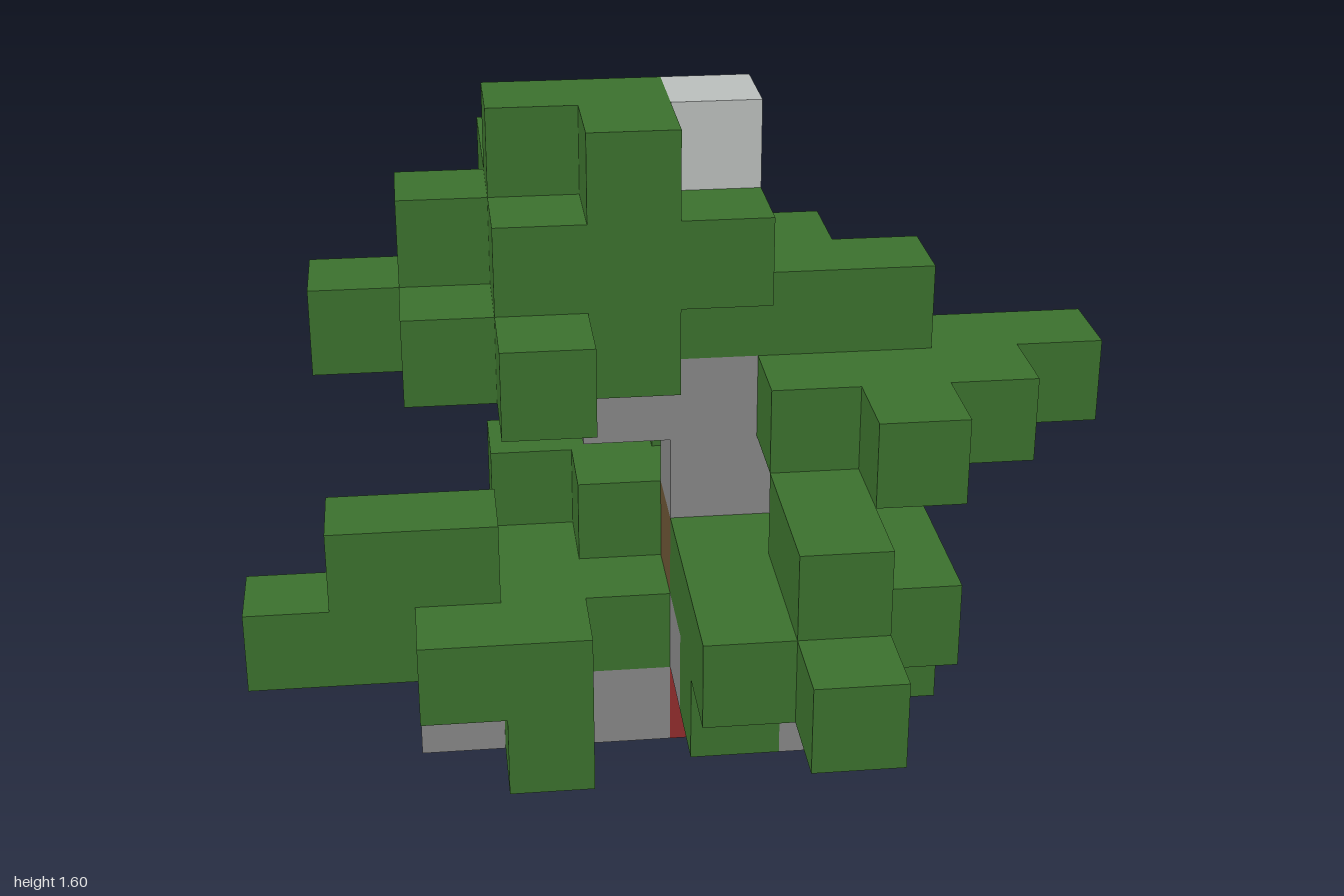
import * as THREE from 'three';
import { mergeGeometries } from 'three/addons/utils/BufferGeometryUtils.js';

const S = 0.2; // block edge

const material = (name, color) => {
  const m = new THREE.MeshStandardMaterial({ color });
  m.name = name;
  return m;
};

// A solid run of blocks starting at cell x, y, z
function box(x, y, z, w = 1, h = 1, d = 1) {
  const cells = [];
  for (let i = 0; i < w; i++)
    for (let j = 0; j < h; j++)
      for (let k = 0; k < d; k++) cells.push([x + i, y + j, z + k]);
  return cells;
}

// A flat diamond of leaves, two blocks out from its centre, thinned by a rule
function diamond(x, y, z, keep = () => true) {
  const cells = [];
  for (let dx = -2; dx <= 2; dx++)
    for (let dz = -2; dz <= 2; dz++)
      if (Math.abs(dx) + Math.abs(dz) <= 2 && keep(dx, dz)) cells.push([x + dx, y, z + dz]);
  return cells;
}

// Outward directions with the turn that points a +z plane that way
const SIDES = [
  { out: [1, 0, 0], ry: Math.PI / 2 },
  { out: [-1, 0, 0], ry: -Math.PI / 2 },
  { out: [0, 1, 0], rx: -Math.PI / 2 },
  { out: [0, -1, 0], rx: Math.PI / 2 },
  { out: [0, 0, 1] },
  { out: [0, 0, -1], ry: Math.PI },
];

export function createModel() {
  const green = material('leaf green', 0x3b702d);
  const gray = material('branch gray', 0x868686);
  const lightGray = material('tip light gray', 0xbabebc);
  const brown = material('bark brown', 0x685233);
  const red = material('foot red', 0x902c2c);

  // Wood is placed first, so leaves only fill the cells around it
  const parts = [];
  const filled = new Set();
  const addPart = (name, mat, ...shapes) => {
    const cells = shapes.flat().filter((cell) => {
      const isFree = !filled.has(cell.join());
      filled.add(cell.join());
      return isFree;
    });
    parts.push({ name, mat, cells });
  };

  // Trunk
  addPart('trunkFoot', red, box(5, 0, 4));
  addPart('trunk', brown, box(5, 1, 4, 1, 2));
  addPart('upperTrunk', gray, box(5, 3, 4, 1, 2));
  addPart('trunkTip', lightGray, box(5, 7, 4));

  // Branches
  addPart('lowBranch', gray, box(2, 0, 4, 3));
  addPart('backBranch', gray, box(5, 1, 2, 1, 1, 2));
  addPart('frontBranch', gray, box(5, 1, 5), box(6, 1, 6));
  addPart('leftBranch', gray, box(6, 3, 4, 2));
  addPart('highBranch', gray, box(4, 4, 4));

  // Leaf clusters: a diamond at each branch end with sprigs above and below
  addPart('lowLeaves', green,
    diamond(2, 1, 4, (dx, dz) => Math.abs(dz) < 2 && !(dx < 0 && dz > 0)),
    box(4, 1, 3), box(2, 0, 3), box(3, 0, 5), box(1, 2, 4, 2));
  addPart('backLeaves', green, diamond(5, 2, 2), box(5, 3, 1, 1, 1, 2));
  addPart('frontLeaves', green,
    diamond(6, 2, 6, (dx, dz) => Math.abs(dx) < 2 && dz > -2 && !(dx > 0 && dz > 0)),
    box(7, 2, 6), box(7, 1, 5), box(5, 1, 6), box(6, 3, 6, 1, 1, 2));
  addPart('leftLeaves', green,
    diamond(7, 4, 4, (dx, dz) => dz > -2 && !(dx > 0 && dz < 0)),
    box(6, 5, 3, 1, 1, 2), box(7, 5, 4));
  addPart('crownLeaves', green,
    diamond(3, 5, 4, (dx, dz) => dz > -2),
    box(2, 6, 4, 4), box(3, 6, 5, 3), box(3, 6, 2, 1, 1, 2),
    box(3, 7, 4, 2), box(4, 7, 5));

  const tree = new THREE.Group();
  tree.name = 'blockTree';
  for (const { name, mat, cells } of parts) {
    const faces = [];
    for (const [x, y, z] of cells) {
      for (const { out: [dx, dy, dz], rx = 0, ry = 0 } of SIDES) {
        // only faces open to the air
        if (filled.has([x + dx, y + dy, z + dz].join())) continue;
        faces.push(new THREE.PlaneGeometry(S, S).rotateX(rx).rotateY(ry).translate(
          (x - 4.5 + dx / 2) * S,
          (y + 0.5 + dy / 2) * S,
          (z - 4 + dz / 2) * S,
        ));
      }
    }
    const mesh = new THREE.Mesh(mergeGeometries(faces), mat);
    mesh.name = name;
    tree.add(mesh);
  }
  return tree;
}
